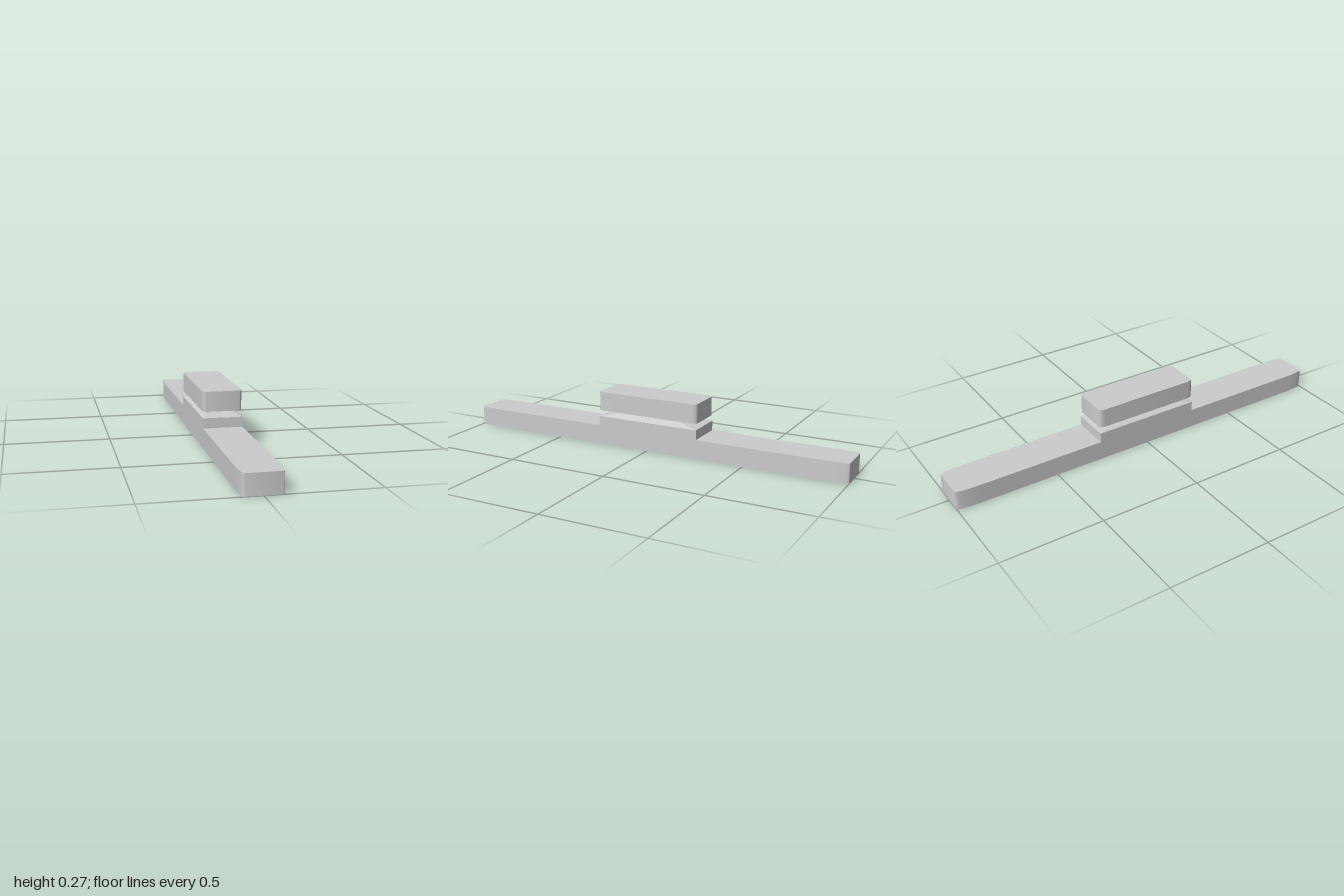
import * as THREE from 'three';
import { toCreasedNormals } from 'three/addons/utils/BufferGeometryUtils.js';

const W = 0.093; // half width shared by all parts
const material = new THREE.MeshStandardMaterial({ color: 0xcccccc });

function part(name, geometry, y) {
  const mesh = new THREE.Mesh(geometry, material);
  mesh.name = name;
  mesh.position.y = y;
  return mesh;
}

// Upright slab whose four corners are quarter ellipses (rx across, rz along)
function roundedSlab(halfLength, height, rx, rz) {
  const shape = new THREE.Shape();
  const x = W - rx, z = halfLength - rz;
  [[x, z], [-x, z], [-x, -z], [x, -z]].forEach(([cx, cz], i) => {
    shape.absellipse(cx, cz, rx, rz, i * Math.PI / 2, (i + 1) * Math.PI / 2, false, 0);
  });
  const geometry = new THREE.ExtrudeGeometry(shape, { depth: height, bevelEnabled: false, curveSegments: 12 });
  geometry.rotateX(-Math.PI / 2);
  return toCreasedNormals(geometry, 0.9);
}

// Box with its base on y = 0, its top narrowed to the given half sizes
function taperedBlock(halfLength, height, topX, topZ) {
  const geometry = new THREE.BoxGeometry(2 * W, height, 2 * halfLength);
  geometry.translate(0, height / 2, 0);
  const p = geometry.attributes.position;
  for (let i = 0; i < p.count; i++) {
    if (p.getY(i) > height / 2) {
      p.setX(i, Math.sign(p.getX(i)) * topX);
      p.setZ(i, Math.sign(p.getZ(i)) * topZ);
    }
  }
  geometry.computeVertexNormals();
  return geometry;
}

export function createModel() {
  const group = new THREE.Group();
  group.name = 'barWithCap';
  // Long base bar with softened ends
  group.add(part('baseBar', roundedSlab(1, 0.095, 0.015, 0.11), 0));
  // Raised step and the sloped neck above it
  group.add(part('step', taperedBlock(0.265, 0.048, W, 0.265), 0.095));
  group.add(part('neck', taperedBlock(0.265, 0.03, 0.036, 0.1), 0.143));
  // Overhanging cap
  group.add(part('cap', roundedSlab(0.265, 0.094, 0.015, 0.029), 0.173));
  return group;
}
